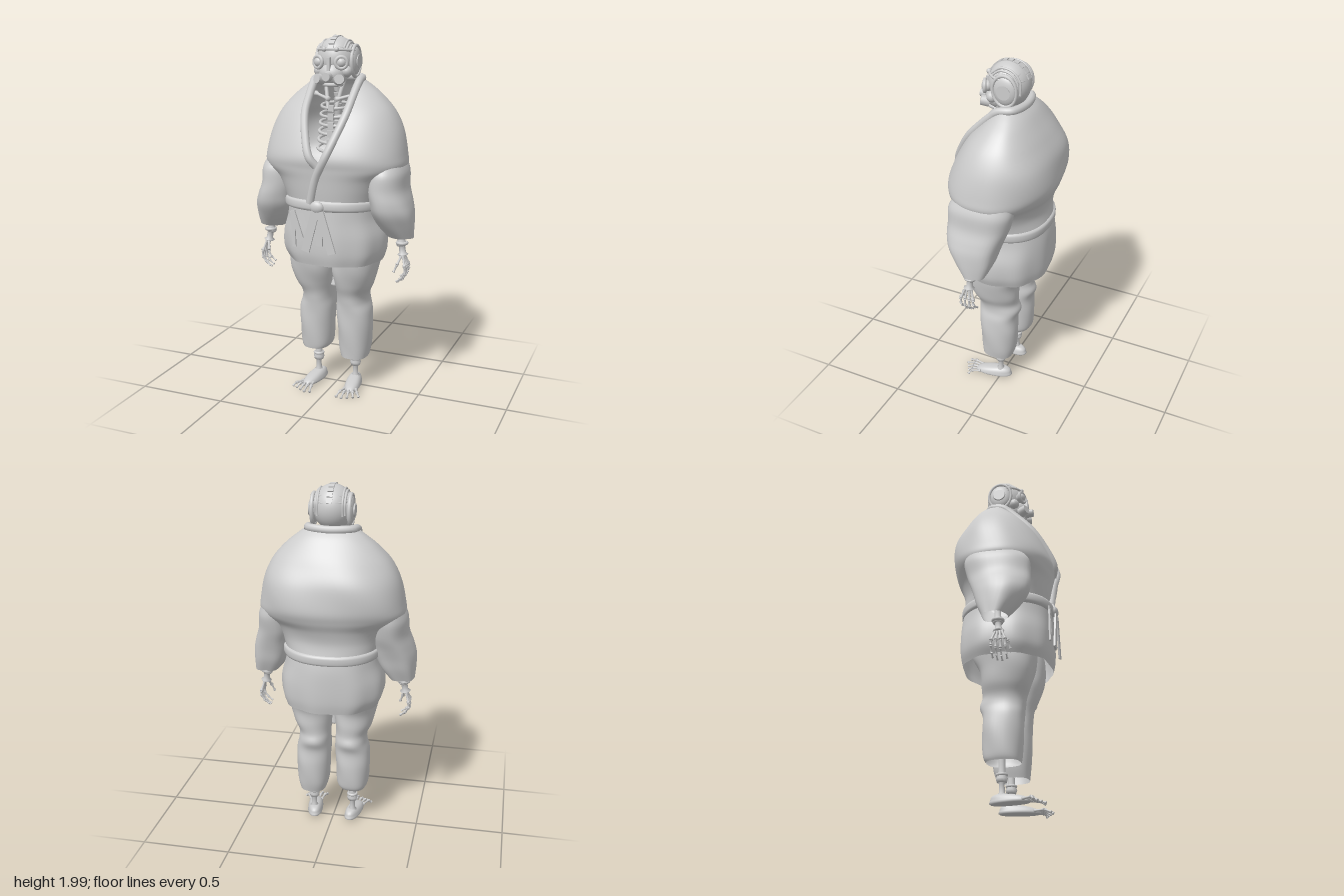
import * as THREE from 'three';
import { mergeVertices } from 'three/addons/utils/BufferGeometryUtils.js';

const grey = new THREE.MeshStandardMaterial({ color: 0xcccccc, side: THREE.DoubleSide });
grey.name = 'plainGrey';
const V = (x, y, z) => new THREE.Vector3(x, y, z);
const POWER = 0.88;
const soft = (t) => Math.sign(t) * Math.abs(t) ** POWER;

function add(parent, name, geometry, x = 0, y = 0, z = 0) {
  const mesh = new THREE.Mesh(geometry, grey);
  mesh.name = name;
  mesh.position.set(x, y, z);
  parent.add(mesh);
  return mesh;
}

// Catmull-Rom sample of a row table; a row is [y, centreX, halfX, frontZ, backZ, opening]
function sampleRow(rows, t) {
  const f = t * (rows.length - 1), i = Math.min(Math.floor(f), rows.length - 2), u = f - i;
  const at = (k) => rows[Math.max(0, Math.min(rows.length - 1, k))];
  return rows[0].map((_, c) => {
    const [a, b, d, e] = [at(i - 1)[c], at(i)[c], at(i + 1)[c], at(i + 2)[c]];
    return b + 0.5 * u * (d - a + u * (2 * a - 5 * b + 4 * d - e + u * (3 * (b - d) + e - a)));
  });
}
// Angle 0 faces the front, growing towards +x
function ringPoint([y, cx, hx, zf, zb], angle, fold = 1) {
  return V(cx + hx * fold * soft(Math.sin(angle)), y, (zf + zb) / 2 + (zf - zb) / 2 * fold * soft(Math.cos(angle)));
}
const openAngle = ([, , hx, , , w = 0]) => Math.asin(Math.min(1, Math.max(0, w) / hx) ** (1 / POWER));

// Cloth surface through horizontal cross-sections, with optional folds and front opening
function loft(rows, fold = () => 1, sides = 48, steps = 5) {
  const pos = [], index = [], count = (rows.length - 1) * steps;
  for (let j = 0; j <= count; j++) {
    const row = sampleRow(rows, j / count), a0 = openAngle(row);
    for (let i = 0; i <= sides; i++) {
      const a = a0 + (2 * Math.PI - 2 * a0) * i / sides;
      pos.push(...ringPoint(row, a, fold(a, row[0])).toArray());
      if (j < count && i < sides) {
        const p = j * (sides + 1) + i, q = p + sides + 1;
        index.push(p, p + 1, q + 1, p, q + 1, q);
      }
    }
  }
  const g = new THREE.BufferGeometry();
  g.setAttribute('position', new THREE.Float32BufferAttribute(pos, 3));
  g.setIndex(index);
  const merged = mergeVertices(g, 1e-5);
  merged.computeVertexNormals();
  return merged;
}

// Bone with swollen ends between two points
function bone(parent, name, p, q, r) {
  const len = p.distanceTo(q);
  const profile = [[0, 0], [0.9, 0.02], [1.1, 0.1], [0.65, 0.25], [0.6, 0.75], [1.1, 0.9], [0.9, 0.98], [0, 1]]
    .map(([a, b]) => new THREE.Vector2(a * r, b * len));
  const m = add(parent, name, new THREE.LatheGeometry(profile, 10), p.x, p.y, p.z);
  m.quaternion.setFromUnitVectors(V(0, 1, 0), q.clone().sub(p).normalize());
}
const tube = (points, r, n = 32) => new THREE.TubeGeometry(new THREE.CatmullRomCurve3(points), n, r, 10);

function buildJacket(root) {
  // The upper part drapes over the shoulders like a cape, then draws in above the belt
  const rows = [
    [1.11, 0, 0.26, 0.255, -0.235, 0], [1.18, 0, 0.285, 0.265, -0.225, 0], [1.25, 0, 0.325, 0.273, -0.24, 0],
    [1.31, 0, 0.393, 0.28, -0.268, 0], [1.38, 0, 0.393, 0.284, -0.288, 0.045], [1.5, 0, 0.368, 0.235, -0.275, 0.09],
    [1.6, 0, 0.32, 0.175, -0.225, 0.118], [1.68, 0, 0.25, 0.105, -0.175, 0.125], [1.73, 0, 0.19, 0.06, -0.14, 0.128],
    [1.76, 0, 0.148, 0.035, -0.11, 0.13]];
  add(root, 'jacketBody', loft(rows, (a, y) =>
    1 + 0.025 * Math.sin(5 * a + 14 * y) * Math.max(0, -Math.cos(a)) * Math.sin(Math.PI * (y - 1.11) / 0.65), 72, 6));
  add(root, 'jacketSkirt', loft([
    [0.78, 0.005, 0.262, 0.25, -0.235], [0.84, 0, 0.287, 0.262, -0.245], [0.93, 0, 0.288, 0.265, -0.248],
    [1.03, 0, 0.262, 0.262, -0.245], [1.12, 0, 0.255, 0.258, -0.23]],
  (a, y) => 1 + 0.018 * Math.sin(9 * a) * (1.12 - y) / 0.34, 72));

  // Sleeves flare below the drape and narrow at the cuff
  for (const s of [1, -1]) {
    const sleeve = [
      [0.93, 0.385, 0.07, 0.085, -0.05], [1.0, 0.36, 0.098, 0.14, -0.08], [1.07, 0.343, 0.112, 0.185, -0.1],
      [1.13, 0.33, 0.109, 0.2, -0.12], [1.2, 0.312, 0.104, 0.2, -0.145], [1.28, 0.31, 0.1, 0.195, -0.165],
      [1.33, 0.3, 0.092, 0.165, -0.165]].map(([y, x, ...rest]) => [y, s * x, ...rest]);
    add(root, s > 0 ? 'leftSleeve' : 'rightSleeve',
      loft(sleeve, (a, y) => 1 + 0.05 * Math.sin(5 * a + 8 * y) * Math.max(0, 1.33 - y) / 0.4, 40));
  }

  // Lapels run along the opening, round the neck and across to the belt
  const edge = rows.slice(4).map((row) => ringPoint(row, openAngle(row)));
  const flip = (p) => V(-p.x, p.y, p.z);
  add(root, 'lapels', tube([
    V(-0.05, 1.13, 0.262), V(-0.015, 1.26, 0.272), ...edge,
    V(0.115, 1.772, -0.07), V(0, 1.77, -0.1), V(-0.115, 1.772, -0.07),
    ...edge.map(flip).reverse(), V(-0.01, 1.33, 0.268)], 0.022, 120));
}

function buildBelt(root) {
  const band = [[-0.03, 0, 0.25, 0.25, -0.225], [-0.024, 0, 0.272, 0.272, -0.243], [0, 0, 0.276, 0.276, -0.246],
    [0.024, 0, 0.272, 0.272, -0.243], [0.03, 0, 0.25, 0.25, -0.225]];
  add(root, 'belt', loft(band, undefined, 64, 2), 0, 1.102, 0).rotation.x = -0.05;
  add(root, 'beltKnot', new THREE.SphereGeometry(1, 16, 12), -0.005, 1.112, 0.275).scale.set(0.04, 0.033, 0.02);
  // Hanging ends fan out below the knot: top x, bottom x, top y, bottom y, width, z
  for (const [x0, x1, y0, y1, w, z] of [[-0.01, -0.07, 1.09, 0.865, 0.046, 0.282], [0.015, 0.085, 1.09, 0.865, 0.046, 0.284],
    [0.005, 0.01, 1.09, 0.9, 0.036, 0.274], [-0.15, -0.1, 1.08, 0.93, 0.03, 0.27], [-0.15, -0.14, 1.08, 0.88, 0.02, 0.268]]) {
    const end = add(root, 'beltEnd', new THREE.BoxGeometry(w, Math.hypot(x1 - x0, y0 - y1), 0.01), (x0 + x1) / 2, (y0 + y1) / 2, z);
    end.rotation.z = Math.atan2(x1 - x0, y0 - y1);
  }
}

function buildLeg(root, s) {
  const side = s > 0 ? 'left' : 'right';
  const hem = s > 0 ? 0.195 : 0.225;
  add(root, side + 'TrouserLeg', loft([
    [hem, 0.118, 0.076, 0.1, -0.08], [0.26, 0.116, 0.089, 0.105, -0.095], [0.38, 0.116, 0.098, 0.115, -0.104],
    [0.47, 0.112, 0.098, 0.118, -0.1], [0.53, 0.106, 0.088, 0.122, -0.118], [0.58, 0.107, 0.09, 0.13, -0.105],
    [0.64, 0.118, 0.107, 0.155, -0.11], [0.72, 0.124, 0.122, 0.18, -0.115], [0.8, 0.13, 0.126, 0.19, -0.15],
    [0.88, 0.13, 0.126, 0.19, -0.17]].map(([y, x, ...rest]) => [y, s * x, ...rest]),
  (a, y) => 1 + 0.02 * Math.sin(4 * a + 25 * y), 40));
  bone(root, side + 'Shin', V(s * 0.115, 0.12, 0), V(s * 0.115, 0.36, 0), 0.029);
  bone(root, side + 'Ankle', V(s * 0.115, 0.05, 0), V(s * 0.115, 0.14, 0), 0.024);
  add(root, side + 'AnkleRing', new THREE.TorusGeometry(0.024, 0.008, 8, 16), s * 0.115, 0.165, 0).rotation.x = Math.PI / 2;

  const foot = new THREE.Group();
  foot.name = side + 'Foot';
  foot.position.x = s * 0.112;
  foot.rotation.y = s * 0.15;
  root.add(foot);
  add(foot, 'footArch', loft([[0.01, 0, 0.001, 0.041, 0.039], [0.014, 0, 0.042, 0.15, -0.06], [0.035, 0, 0.042, 0.145, -0.062],
    [0.052, 0, 0.034, 0.1, -0.056], [0.064, 0, 0.02, 0.03, -0.035], [0.066, 0, 0.001, 0.001, -0.001]], undefined, 28, 3));
  for (let i = -2; i <= 2; i++) {
    const reach = 0.225 - 0.012 * Math.abs(i + s);
    const mid = V(i * 0.025, 0.028, 0.175);
    bone(foot, 'toe', V(i * 0.016, 0.026, 0.12), mid, 0.009);
    bone(foot, 'toeTip', mid, V(i * 0.032, 0.01, reach), 0.008);
  }
}

function buildHand(root, s) {
  const hand = new THREE.Group();
  hand.name = s > 0 ? 'leftHand' : 'rightHand';
  root.add(hand);
  bone(hand, 'forearm', V(s * 0.395, 0.88, 0.04), V(s * 0.375, 1.03, 0.03), 0.028);
  bone(hand, 'wrist', V(s * 0.405, 0.83, 0.045), V(s * 0.395, 0.9, 0.04), 0.028);
  add(hand, 'wristRing', new THREE.TorusGeometry(0.026, 0.009, 8, 16), s * 0.397, 0.9, 0.04).rotation.x = Math.PI / 2;
  for (let i = 0; i < 4; i++) {
    const z = 0.085 - i * 0.025, drop = [0.01, 0, 0.005, 0.02][i];
    const joints = [V(s * 0.408, 0.84, 0.045 + (z - 0.045) * 0.4), V(s * 0.428, 0.775, z),
      V(s * 0.428, 0.73 + drop, z), V(s * 0.408, 0.7 + drop, z), V(s * 0.38, 0.68 + drop, z)];
    for (let k = 0; k < 4; k++) bone(hand, 'fingerBone', joints[k], joints[k + 1], 0.01 - k * 0.0012);
  }
  bone(hand, 'thumb', V(s * 0.4, 0.83, 0.06), V(s * 0.385, 0.785, 0.09), 0.01);
  bone(hand, 'thumbTip', V(s * 0.385, 0.785, 0.09), V(s * 0.37, 0.745, 0.1), 0.008);
}

function buildChest(root) {
  const chest = new THREE.Group();
  chest.name = 'ribCage';
  root.add(chest);
  for (let i = 0; i < 13; i++) {
    add(chest, 'vertebra', new THREE.CylinderGeometry(0.024, 0.019, 0.024, 10), 0, 1.37 + i * 0.031, -0.01);
  }
  for (let i = 0; i < 6; i++) {
    const rib = add(chest, 'rib', new THREE.TorusGeometry(1, 0.1, 8, 32), 0, 1.4 + i * 0.045, 0.02);
    rib.scale.set(0.1 - i * 0.004, 0.09 - i * 0.006, 0.09);
    rib.rotation.x = Math.PI / 2 + 0.2;
    add(chest, 'breastPlate', new THREE.BoxGeometry(0.032, 0.034, 0.02), 0, 1.39 + i * 0.045, 0.11 - i * 0.006);
  }
  for (const s of [1, -1]) {
    bone(chest, 'collarBone', V(s * 0.015, 1.66, 0.07), V(s * 0.12, 1.69, 0.03), 0.014);
    add(chest, 'neckCord', tube([V(s * 0.025, 1.62, 0.07), V(s * 0.04, 1.7, 0.05), V(s * 0.06, 1.78, 0.03)], 0.011));
  }
  bone(root, 'pelvis', V(0, 0.6, 0.04), V(0, 0.76, 0.02), 0.022);
}

function buildHead(root) {
  const head = new THREE.Group();
  head.name = 'head';
  head.position.set(0, 1.872, 0);
  root.add(head);
  add(head, 'skull', new THREE.SphereGeometry(1, 40, 28), 0, 0, -0.004).scale.set(0.108, 0.12, 0.112);
  add(head, 'jaw', new THREE.SphereGeometry(1, 24, 16), 0, -0.075, 0.05).scale.set(0.078, 0.07, 0.08);
  // Segmented crest over the crown
  for (let i = 0; i < 9; i++) {
    const a = -1.15 + i * 0.27;
    const plate = add(head, 'crestPlate', new THREE.BoxGeometry(0.03, 0.012, 0.024), 0, 0.119 * Math.cos(a), 0.112 * Math.sin(a) - 0.004);
    plate.rotation.x = a;
  }
  // Ridges across the skull
  for (const a of [-0.8, -0.25, 0.3, 0.85]) {
    const ridge = add(head, 'skullRidge', new THREE.TorusGeometry(0.111, 0.004, 6, 32, Math.PI), 0, 0, -0.004);
    ridge.rotation.x = a;
  }
  add(head, 'browBand', new THREE.TorusGeometry(0.102, 0.007, 8, 40), 0, 0.045, -0.002).rotation.x = Math.PI / 2 - 0.1;
  for (const s of [1, -1]) {
    const goggle = add(head, 'goggleRim', new THREE.TorusGeometry(0.03, 0.01, 10, 28), s * 0.066, -0.012, 0.106);
    goggle.rotation.y = s * 0.4;
    add(head, 'goggleLens', new THREE.SphereGeometry(0.029, 18, 12), s * 0.063, -0.012, 0.095);
    const filter = add(head, 'filter', new THREE.CylinderGeometry(0.026, 0.03, 0.045, 18), s * 0.055, -0.1, 0.112);
    filter.rotation.set(Math.PI / 2 - 0.2, 0, -s * 0.45);
    add(head, 'cheek', new THREE.SphereGeometry(0.03, 14, 10), s * 0.078, -0.06, 0.06);
    add(head, 'browStud', new THREE.SphereGeometry(0.014, 10, 8), s * 0.035, 0.055, 0.096);
    // Flat ear cover with a padded rim, close to the skull
    add(head, 'earCover', new THREE.SphereGeometry(1, 24, 16), s * 0.096, -0.01, -0.02).scale.set(0.024, 0.075, 0.062);
    const rim = add(head, 'earRim', new THREE.TorusGeometry(1, 0.12, 10, 32), s * 0.099, -0.01, -0.02);
    rim.scale.set(0.066, 0.082, 0.09);
    rim.rotation.y = Math.PI / 2;
    add(head, 'earPlate', new THREE.CylinderGeometry(0.034, 0.038, 0.01, 20), s * 0.118, -0.01, -0.022).rotation.z = Math.PI / 2;
    // Cables running front to back beside the crown
    for (const x of [0.066, 0.077, 0.088]) {
      const k = Math.sqrt(1 - (x / 0.108) ** 2);
      add(head, 'headCable', tube([-1.9, -1.2, -0.5, 0.2, 0.9].map((a) =>
        V(s * x, 0.125 * k * Math.cos(a), 0.117 * k * Math.sin(a) - 0.004)), 0.006));
    }
  }
  add(head, 'breathingPort', new THREE.CylinderGeometry(0.022, 0.028, 0.06, 18), 0, -0.085, 0.13).rotation.x = Math.PI / 2;
  add(head, 'noseBridge', new THREE.BoxGeometry(0.018, 0.07, 0.03), 0, -0.02, 0.112);
  add(head, 'chinGuard', new THREE.TorusGeometry(0.05, 0.01, 8, 24, Math.PI), 0, -0.13, 0.06).rotation.x = Math.PI / 2;
}

export function createModel() {
  const root = new THREE.Group();
  root.name = 'robedFigure';
  buildJacket(root);
  buildBelt(root);
  for (const s of [1, -1]) {
    buildLeg(root, s);
    buildHand(root, s);
  }
  buildChest(root);
  buildHead(root);
  return root;
}
